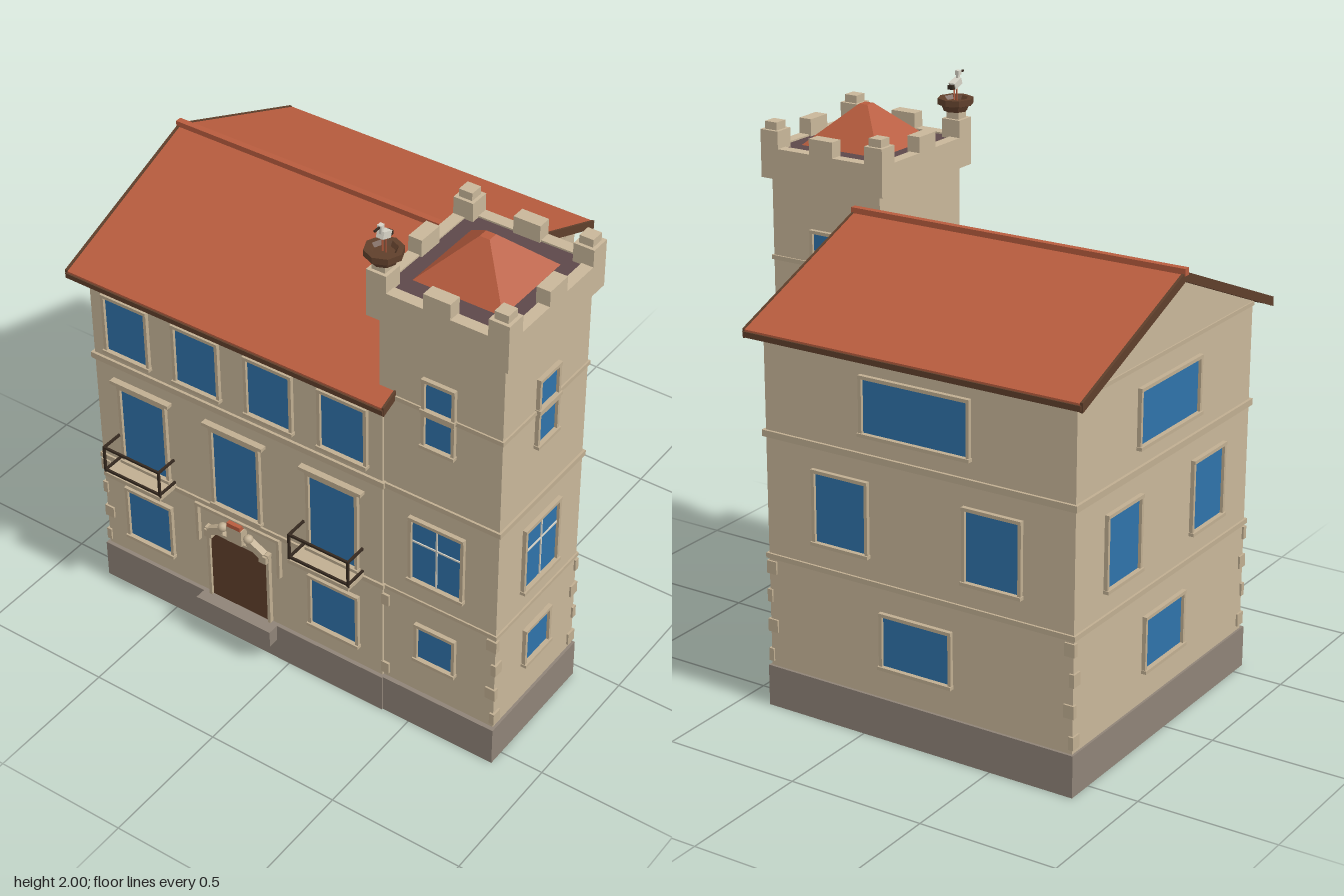
import * as THREE from 'three';

const mat = (name, color) => {
  const m = new THREE.MeshStandardMaterial({ color });
  m.name = name;
  return m;
};

export function createModel() {
  const root = new THREE.Group();
  root.name = 'townHouse';
  const plaster = mat('plaster', 0xc8b699);
  const trim = mat('stone trim', 0xc0ae91);
  const plinthMat = mat('plinth stone', 0x8f8377);
  const tile = mat('roof tile', 0xb85c3e);
  const wood = mat('dark wood', 0x5f3f2b);
  const glass = mat('window glass', 0x2f72a9);
  const iron = mat('iron', 0x35291f);
  const deckMat = mat('tower deck', 0x5d484a);
  const pale = mat('pale paint', 0xd6d2c6);

  const add = (parent, name, geo, material) => {
    const m = new THREE.Mesh(geo, material);
    m.name = name;
    parent.add(m);
    return m;
  };
  // Box given by its limits on each axis
  const box = (p, name, m, x0, x1, y0, y1, z0, z1) => {
    const b = add(p, name, new THREE.BoxGeometry(x1 - x0, y1 - y0, z1 - z0), m);
    b.position.set((x0 + x1) / 2, (y0 + y1) / 2, (z0 + z1) / 2);
    return b;
  };
  // Profile in (z, y) extruded from x0 to x1
  const prism = (name, m, pts, x0, x1) => {
    const g = new THREE.ExtrudeGeometry(new THREE.Shape(pts.map(p => new THREE.Vector2(...p))),
      { depth: x1 - x0, bevelEnabled: false });
    g.rotateY(-Math.PI / 2).translate(x1, 0, 0);
    return add(root, name, g, m);
  };

  // Main house with gable walls
  const ridgeZ = -0.015;
  const roofY = z => 1.612 - 0.4 * Math.abs(z - ridgeZ);
  box(root, 'housePlinth', plinthMat, -0.815, 0.395, 0, 0.15, -0.6, 0.565);
  prism('houseWalls', plaster, [[-0.59, 0.14], [0.55, 0.14], [0.55, roofY(0.55) - 0.026],
    [ridgeZ, roofY(ridgeZ) - 0.026], [-0.59, roofY(-0.59) - 0.026]], -0.807, 0.387);
  for (const [y0, y1, d] of [[0.548, 0.566, 0.008], [0.985, 1.008, 0.01], [1.343, 1.357, 0.005]])
    box(root, 'houseBand', trim, -0.807 - d, 0.387 + d, y0, y1, -0.59 - d, 0.55 + d);

  // Gabled roof: wooden deck, tile layer, verges and ridge
  const chevron = (top, bottom, e = 0) => {
    const a = -0.64 - e, b = 0.61 + e;
    return [[a, roofY(a) + bottom], [ridgeZ, roofY(ridgeZ) + bottom], [b, roofY(b) + bottom],
      [b, roofY(b) + top], [ridgeZ, roofY(ridgeZ) + top], [a, roofY(a) + top]];
  };
  prism('roofDeck', wood, chevron(-0.009, -0.028), -0.845, 0.425);
  prism('roofTiles', tile, chevron(0, -0.009), -0.845, 0.425);
  prism('vergeRight', wood, chevron(0.003, -0.03), -0.855, -0.845);
  prism('vergeLeft', wood, chevron(0.003, -0.03), 0.425, 0.433);
  for (const z of [-0.64, 0.61])
    box(root, 'eaveGutter', wood, -0.85, 0.43, 1.338, 1.356, z - 0.006, z + 0.006);
  box(root, 'ridgeCap', tile, -0.858, 0.436, 1.602, 1.627, ridgeZ - 0.012, ridgeZ + 0.012);

  // Tower body
  box(root, 'towerPlinth', plinthMat, 0.38, 0.838, 0, 0.15, 0.04, 0.56);
  box(root, 'towerWalls', plaster, 0.37, 0.828, 0.14, 1.67, 0.05, 0.543);
  for (const [y0, y1, d] of [[0.55, 0.564, 0.006], [0.987, 1.006, 0.008], [1.358, 1.374, 0.006]])
    box(root, 'towerBand', trim, 0.37 - d, 0.828 + d, y0, y1, 0.05 - d, 0.543 + d);

  // Battlements
  const X0 = 0.338, X1 = 0.852, Z0 = 0.02, Z1 = 0.568, T = 0.042;
  box(root, 'towerDeck', deckMat, X0 + 0.01, X1 - 0.01, 1.72, 1.764, Z0 + 0.01, Z1 - 0.01);
  box(root, 'corbelSlab', plaster, X0, X1, 1.66, 1.72, Z0, Z1);
  for (const z of [Z0, Z1 - T]) box(root, 'parapet', plaster, X0, X1, 1.66, 1.77, z, z + T);
  for (const x of [X0, X1 - T]) box(root, 'parapet', plaster, x, x + T, 1.66, 1.77, Z0, Z1);
  for (const x of [X0, X1 - 0.074]) for (const z of [Z0, Z1 - 0.074]) {
    box(root, 'cornerMerlon', plaster, x, x + 0.074, 1.7, 1.832, z, z + 0.074);
    box(root, 'cornerMerlonCap', plaster, x + 0.012, x + 0.062, 1.83, 1.86, z + 0.012, z + 0.062);
  }
  const cx = (X0 + X1) / 2, cz = (Z0 + Z1) / 2;
  for (const z of [Z0, Z1 - 0.05]) box(root, 'merlon', plaster, cx - 0.049, cx + 0.049, 1.7, 1.826, z, z + 0.05);
  for (const x of [X0, X1 - 0.05]) box(root, 'merlon', plaster, x, x + 0.05, 1.7, 1.826, cz - 0.049, cz + 0.049);

  // Tower pyramid roof
  const pyr = new THREE.CylinderGeometry(0.018 * Math.SQRT2, 0.163 * Math.SQRT2, 0.138, 4).toNonIndexed();
  pyr.rotateY(Math.PI / 4).computeVertexNormals();
  add(root, 'towerRoof', pyr, tile).position.set(cx, 1.833, cz);

  // Facades: local x runs along the wall, local z points outward
  const facade = (name, x, z, turn) => {
    const g = new THREE.Group();
    g.name = name;
    g.position.set(x, 0, z);
    g.rotation.y = turn * Math.PI / 2;
    root.add(g);
    return g;
  };
  const windowAt = (f, u, w, y0, y1, { lintel = false, cross = false } = {}) => {
    const g = new THREE.Group();
    g.name = 'window';
    g.position.x = u;
    f.add(g);
    const h = w / 2, b = 0.012, d = 0.014;
    box(g, 'pane', glass, -h, h, y0, y1, -0.005, 0.003);
    for (const s of [-h - b / 2, h + b / 2]) box(g, 'jamb', trim, s - b / 2, s + b / 2, y0, y1, -0.005, d);
    box(g, 'head', trim, -h - b, h + b, y1, y1 + b, -0.005, d + 0.002);
    box(g, 'sill', trim, -h - b - 0.003, h + b + 0.003, y0 - b, y0, -0.005, d + 0.006);
    if (lintel) box(g, 'cornice', trim, -h - 0.033, h + 0.033, y1 + 0.018, y1 + 0.031, -0.005, 0.024);
    if (cross) {
      box(g, 'mullion', pale, -0.003, 0.003, y0, y1, 0.002, 0.007);
      box(g, 'transom', pale, -h, h, y0 + 0.64 * (y1 - y0) - 0.003, y0 + 0.64 * (y1 - y0) + 0.003, 0.002, 0.007);
    }
  };

  // House front
  const front = facade('houseFront', 0, 0.55, 0);
  for (const u of [-0.605, 0.19]) windowAt(front, u, 0.185, 0.243, 0.448);
  for (const u of [-0.605, -0.21, 0.19]) windowAt(front, u, 0.185, 0.588, 0.9, { lintel: true });
  for (const u of [-0.655, -0.358, -0.06, 0.235]) windowAt(front, u, 0.17, 1.05, 1.268);

  // House back and sides
  const back = facade('houseBack', 0, -0.59, 2);
  windowAt(back, 0.21, 0.26, 0.27, 0.45);
  for (const u of [-0.085, 0.505]) windowAt(back, u, 0.2, 0.655, 0.9);
  windowAt(back, 0.21, 0.4, 1.08, 1.265);
  for (const [name, x, turn, s] of [['houseLeft', 0.387, 1, -1], ['houseRight', -0.807, -1, 1]]) {
    const f = facade(name, x, 0, turn);
    windowAt(f, s * -0.018, 0.245, 0.27, 0.45);
    windowAt(f, s * -0.3, 0.2, 0.655, 0.9);
    if (s > 0) windowAt(f, 0.26, 0.2, 0.655, 0.9);
    windowAt(f, s * -0.018, 0.38, 1.08, 1.265);
  }

  // Tower windows
  const towerFaces = [facade('towerFront', 0.597, 0.543, 0), facade('towerLeft', 0.828, 0.296, 1),
    facade('towerBack', 0.6, 0.05, 2), facade('towerRight', 0.37, 0.296, -1)];
  towerFaces.forEach((f, i) => {
    windowAt(f, 0, 0.1, 1.236, 1.352);
    windowAt(f, 0, 0.1, 1.378, 1.482);
    if (i > 1) return;
    windowAt(f, 0, 0.137, 0.31, 0.448);
    windowAt(f, 0, 0.19, 0.655, 0.902, { cross: true });
  });

  // Corner quoins, alternately long on each face
  const quoins = (x, z, sx, sz) => [0.19, 0.3, 0.41, 0.515].forEach((y, i) => {
    const a = i % 2 ? 0.032 : 0.012, b = i % 2 ? 0.012 : 0.032, o = 0.007;
    const xs = [x + sx * o, x - sx * a].sort((p, q) => p - q);
    const zs = [z + sz * o, z - sz * b].sort((p, q) => p - q);
    box(root, 'quoin', trim, ...xs, y - 0.023, y + 0.023, ...zs);
  });
  quoins(-0.807, 0.55, -1, 1);
  quoins(-0.807, -0.59, -1, -1);
  quoins(0.387, -0.59, 1, -1);
  quoins(0.828, 0.543, 1, 1);
  quoins(0.828, 0.05, 1, -1);
  for (const y of [0.19, 0.5]) box(root, 'quoin', trim, 0.382, 0.412, y - 0.023, y + 0.023, 0.53, 0.552);

  // Doorway, step, hood mould and crest
  const dx = -0.21;
  box(root, 'door', wood, dx - 0.124, dx + 0.124, 0.15, 0.455, 0.545, 0.556);
  for (const s of [-1, 1]) {
    box(root, 'doorJamb', trim, dx + s * 0.128 - 0.006, dx + s * 0.128 + 0.006, 0.15, 0.455, 0.545, 0.566);
    box(root, 'hoodDrop', trim, dx + s * 0.174 - 0.006, dx + s * 0.174 + 0.006, 0.38, 0.545, 0.545, 0.566);
    // Crouching supporter beside the crest
    const body = add(root, 'supporterBody', new THREE.BoxGeometry(0.07, 0.028, 0.025), trim);
    body.position.set(dx + s * 0.085, 0.473, 0.568);
    body.rotation.z = -s * 0.5;
    add(root, 'supporterHead', new THREE.IcosahedronGeometry(0.018, 1), trim).position.set(dx + s * 0.055, 0.502, 0.572);
    box(root, 'supporterFoot', trim, dx + s * 0.118 - 0.015, dx + s * 0.118 + 0.015, 0.43, 0.46, 0.55, 0.58);
  }
  box(root, 'doorHead', trim, dx - 0.136, dx + 0.136, 0.452, 0.464, 0.545, 0.572);
  box(root, 'hoodMould', trim, dx - 0.18, dx + 0.18, 0.538, 0.55, 0.545, 0.568);
  box(root, 'crest', trim, dx - 0.032, dx + 0.032, 0.462, 0.528, 0.55, 0.582);
  box(root, 'crestCap', tile, dx - 0.028, dx + 0.028, 0.528, 0.545, 0.55, 0.584);
  box(root, 'doorStep', plinthMat, dx - 0.16, dx + 0.16, 0.085, 0.15, 0.55, 0.607);

  // Balconies
  for (const bx of [-0.605, 0.187]) {
    const x0 = bx - 0.124, x1 = bx + 0.124, zf = 0.638;
    box(root, 'balconySlab', trim, x0, x1, 0.558, 0.574, 0.545, 0.64);
    for (const y of [0.582, 0.68]) {
      box(root, 'balconyRail', iron, x0, x1, y - 0.004, y + 0.004, zf - 0.008, zf);
      for (const x of [x0, x1 - 0.008])
        box(root, 'balconySideRail', iron, x, x + 0.008, y - 0.004, y + 0.004, 0.55, zf);
    }
    for (const x of [x0, x1 - 0.008]) box(root, 'balconyPost', iron, x, x + 0.008, 0.57, 0.684, zf - 0.008, zf);
  }

  // Nest and standing bird on the front corner
  const nest = new THREE.Group();
  nest.name = 'nest';
  nest.position.set(0.378, 0, 0.53);
  root.add(nest);
  const profile = [[0, 1.858], [0.042, 1.858], [0.05, 1.878], [0.064, 1.882], [0.064, 1.904], [0.045, 1.904], [0.035, 1.89], [0, 1.89]];
  const bowl = new THREE.LatheGeometry(profile.map(p => new THREE.Vector2(...p)), 8).toNonIndexed();
  bowl.computeVertexNormals();
  add(nest, 'nestBowl', bowl, wood);
  for (const x of [-0.006, 0.006]) box(nest, 'birdLeg', tile, x - 0.002, x + 0.002, 1.885, 1.95, -0.002, 0.002);
  const body = box(nest, 'birdBody', pale, -0.013, 0.013, 1.943, 1.967, -0.022, 0.022);
  body.rotation.x = -0.35;
  box(nest, 'birdTail', iron, -0.01, 0.01, 1.938, 1.953, -0.034, -0.016);
  box(nest, 'birdNeck', pale, -0.005, 0.005, 1.96, 1.988, 0.01, 0.02);
  box(nest, 'birdHead', pale, -0.008, 0.008, 1.982, 1.998, 0.008, 0.026);
  box(nest, 'birdBeak', iron, -0.003, 0.003, 1.988, 1.994, 0.026, 0.05);

  return root;
}
